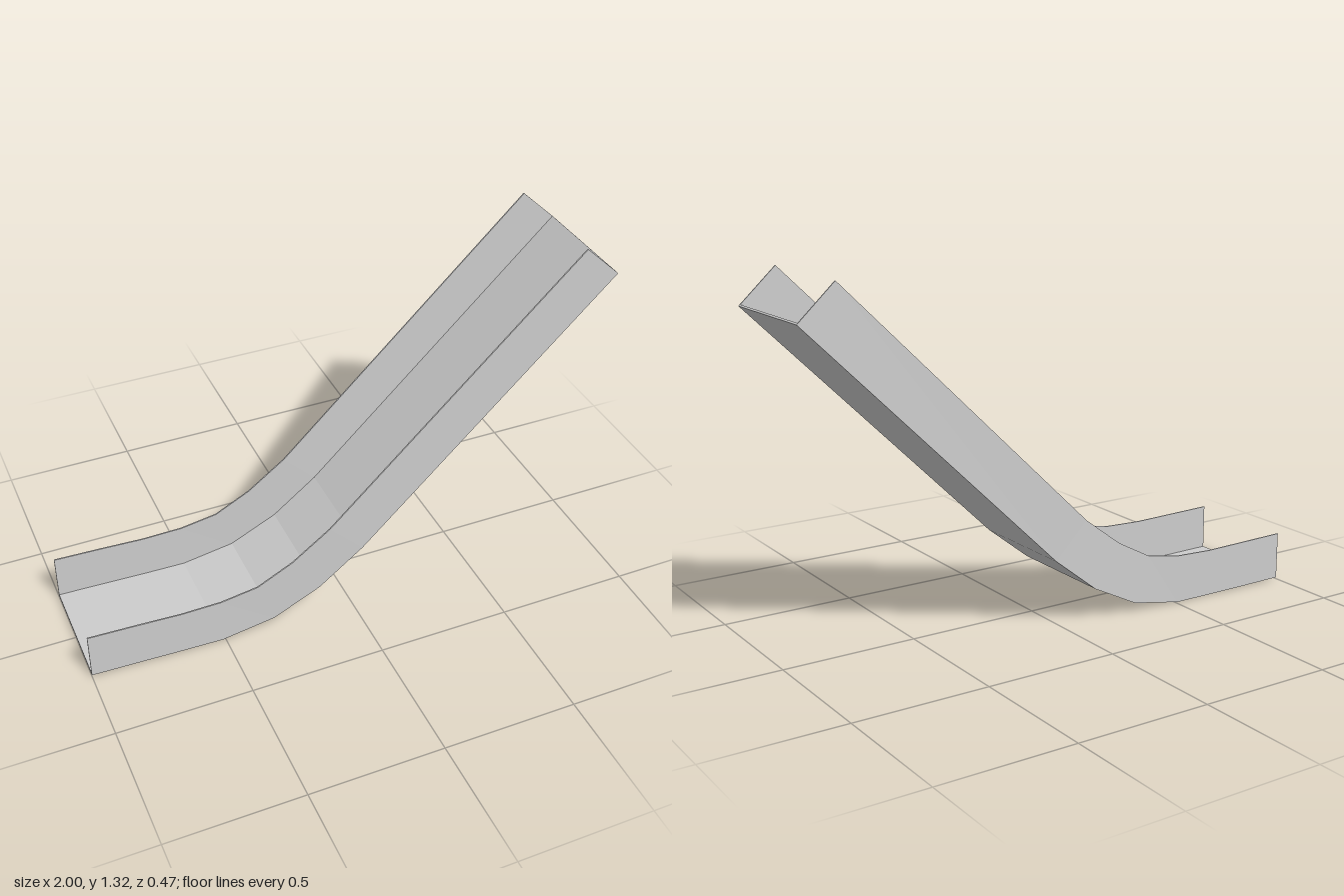
import * as THREE from 'three';

// Stations along the chute: bottom x, y; top x, y; centre z
const stations = [
  [-1.0, 0.01, -1.0, 0.19, -0.012],
  [-0.82, 0.007, -0.82, 0.186, -0.009],
  [-0.66, 0.005, -0.66, 0.182, -0.005],
  [-0.51, 0.004, -0.51, 0.187, -0.002],
  [-0.31, 0.04, -0.37, 0.212, 0.001],
  [-0.13, 0.13, -0.235, 0.285, 0.004],
  [0.04, 0.265, -0.09, 0.395, 0.006],
  [1.0, 1.2, 0.865, 1.325, 0.009],
];
const HALF = 0.224;
const WALL = 0.005;
const FLOOR = 0.04; // fraction of the wall height

// Sweep a rectangle (z0..z1 across, v0..v1 of the height) through the stations
function sweep(name, z0, z1, v0, v1, material) {
  const ring = [[z0, v0], [z1, v0], [z1, v1], [z0, v1]];
  const positions = [];
  const index = [];
  for (const [bx, by, tx, ty, cz] of stations) {
    for (const [z, v] of ring) {
      positions.push(bx + (tx - bx) * v, by + (ty - by) * v, cz + z);
    }
  }
  const last = (stations.length - 1) * 4;
  for (let s = 0; s < last; s += 4) {
    for (let i = 0; i < 4; i++) {
      const a = s + i, b = s + (i + 1) % 4;
      index.push(a, a + 4, b, b, a + 4, b + 4);
    }
  }
  // End caps
  index.push(0, 1, 2, 0, 2, 3);
  index.push(last, last + 2, last + 1, last, last + 3, last + 2);

  const geometry = new THREE.BufferGeometry();
  geometry.setAttribute('position', new THREE.Float32BufferAttribute(positions, 3));
  geometry.setIndex(index);
  const flat = geometry.toNonIndexed();
  flat.computeVertexNormals();
  const mesh = new THREE.Mesh(flat, material);
  mesh.name = name;
  return mesh;
}

export function createModel() {
  const group = new THREE.Group();
  group.name = 'chute';
  const material = new THREE.MeshStandardMaterial({ color: 0xcccccc, flatShading: true });
  const inner = HALF - WALL;

  // Sliding floor between two thin side walls
  group.add(sweep('floor', -inner, inner, 0, FLOOR, material));
  group.add(sweep('frontWall', inner, HALF, 0, 1, material));
  group.add(sweep('backWall', -HALF, -inner, 0, 1, material));
  return group;
}
